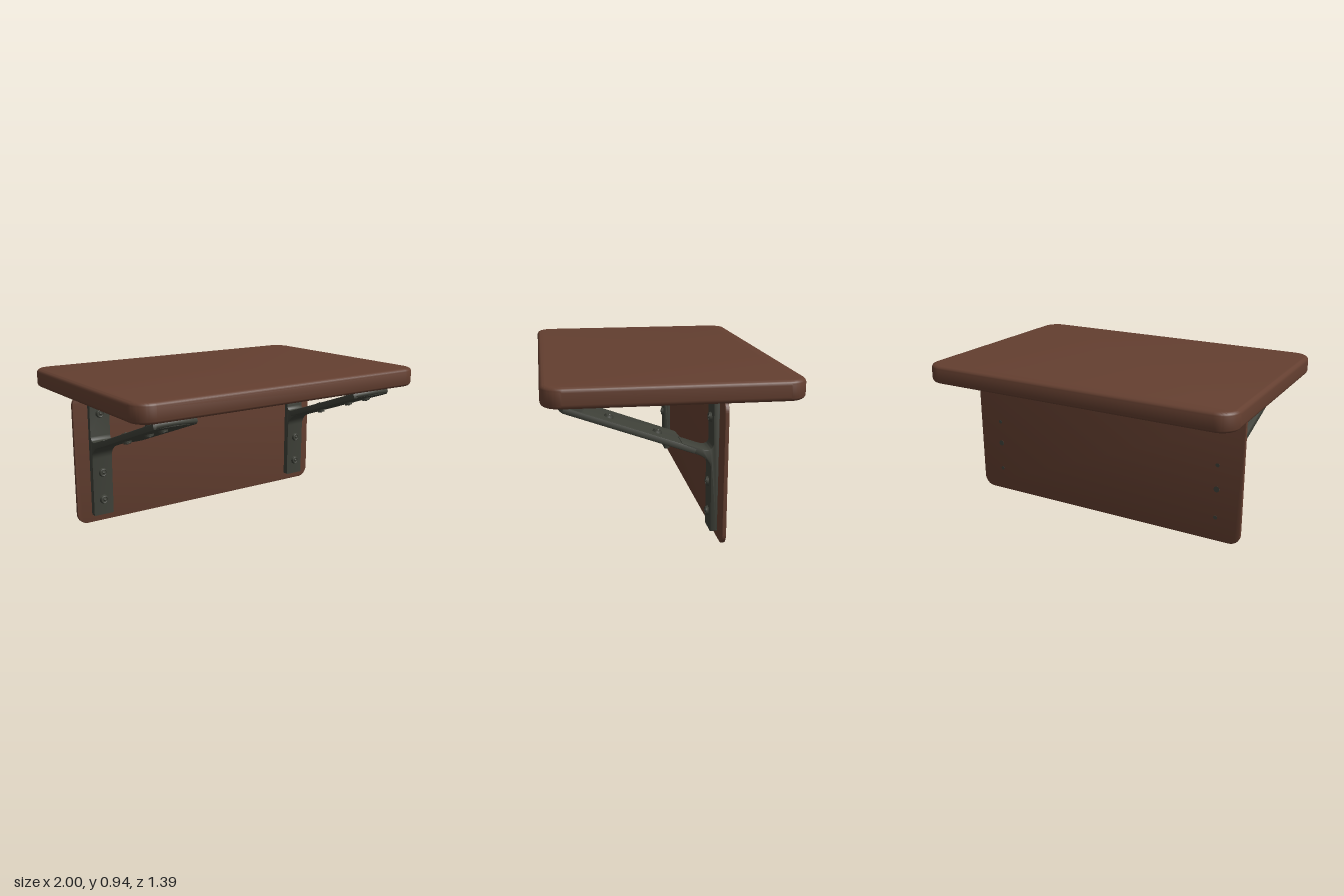
import * as THREE from 'three';
import { toCreasedNormals } from 'three/addons/utils/BufferGeometryUtils.js';

const wood = new THREE.MeshStandardMaterial({ name: 'brown wood', color: 0x643f30 });
const metal = new THREE.MeshStandardMaterial({ name: 'dark metal', color: 0x3e4038 });

function add(parent, name, geometry, material, x = 0, y = 0, z = 0) {
  const mesh = new THREE.Mesh(geometry, material);
  mesh.name = name;
  mesh.position.set(x, y, z);
  parent.add(mesh);
  return mesh;
}

// Extrusion centred on its depth, with the bevel kept inside the outline and depth
function slab(shape, depth, bevel, steps = 2) {
  const g = new THREE.ExtrudeGeometry(shape, {
    depth: depth - 2 * bevel, bevelSize: bevel, bevelThickness: bevel,
    bevelOffset: -bevel, bevelSegments: steps, curveSegments: 10,
  });
  g.translate(0, 0, -depth / 2 + bevel);
  return toCreasedNormals(g, 0.65);
}

function roundedRect(w, h, r) {
  const x = w / 2, y = h / 2, s = new THREE.Shape();
  s.absarc(x - r, y - r, r, 0, Math.PI / 2);
  s.absarc(-x + r, y - r, r, Math.PI / 2, Math.PI);
  s.absarc(-x + r, -y + r, r, Math.PI, Math.PI * 1.5);
  s.absarc(x - r, -y + r, r, Math.PI * 1.5, Math.PI * 2);
  s.closePath();
  return s;
}

// Side profile given in (z, y), extruded along x
function sideProfile(shape, width, bevel) {
  return slab(shape, width, bevel).rotateY(-Math.PI / 2);
}

// Screw head with a raised rim and a button; its axis is +z
function screw(parent, x, y, z, depth = 0.012) {
  const g = new THREE.Group();
  g.name = 'screw';
  add(g, 'screwHead', new THREE.CylinderGeometry(0.024, 0.028, depth, 20).rotateX(Math.PI / 2), metal, 0, 0, depth / 2);
  add(g, 'screwRim', new THREE.TorusGeometry(0.02, 0.004, 6, 20), metal, 0, 0, depth);
  add(g, 'screwButton', new THREE.SphereGeometry(0.009, 10, 6), metal, 0, 0, depth);
  g.position.set(x, y, z);
  parent.add(g);
  return g;
}

function bracket(side) {
  const g = new THREE.Group();
  g.name = side > 0 ? 'leftBracket' : 'rightBracket';
  const cx = side * 0.768;

  // Wall strap with a filleted root for the sloping arm
  const strap = new THREE.Shape();
  strap.moveTo(-0.255, 0.055);
  strap.lineTo(-0.215, 0.055);
  strap.lineTo(-0.212, 0.42);
  strap.quadraticCurveTo(-0.21, 0.47, -0.15, 0.502);
  strap.lineTo(-0.04, 0.545);
  strap.lineTo(-0.052, 0.578);
  strap.lineTo(-0.16, 0.539);
  strap.quadraticCurveTo(-0.222, 0.518, -0.224, 0.57);
  strap.lineTo(-0.22, 0.828);
  strap.lineTo(-0.255, 0.828);
  strap.closePath();
  add(g, 'wallStrap', sideProfile(strap, 0.134, 0.006), metal, cx);

  // Wide sloping arm: plan outline with a bowed front edge
  const arm = new THREE.Group();
  arm.name = 'slopingArm';
  const plan = new THREE.Shape();
  plan.moveTo(side * 0.705, 0.08);
  plan.lineTo(side * 0.705, 0.145);
  plan.lineTo(side * 0.59, 0.155);
  plan.quadraticCurveTo(side * 0.578, 0.157, side * 0.578, 0.175);
  plan.lineTo(side * 0.575, 0.815);
  plan.quadraticCurveTo(side * 0.71, 0.90, side * 0.848, 0.83);
  plan.lineTo(side * 0.835, 0.08);
  plan.closePath();
  add(arm, 'armPlate', slab(plan, 0.035, 0.006), metal);
  // Bolts through the arm, showing on both faces
  for (const s of [0.295, 0.575, 0.74]) {
    screw(arm, side * 0.745, s, 0.016);
    screw(arm, side * 0.745, s, -0.016).rotation.y = Math.PI;
  }
  arm.position.set(0, 0.502, -0.2);
  arm.rotation.x = THREE.MathUtils.degToRad(70);
  g.add(arm);

  // Raised front lip following the bowed edge
  const lip = new THREE.CatmullRomCurve3([
    [0.59, 0.785, 0.575], [0.65, 0.793, 0.593], [0.71, 0.797, 0.6], [0.78, 0.795, 0.595], [0.835, 0.788, 0.582],
  ].map(([x, y, z]) => new THREE.Vector3(side * x, y, z)));
  add(g, 'frontLip', new THREE.TubeGeometry(lip, 16, 0.018, 8), metal);

  // Flared post that meets the top
  const post = new THREE.Shape();
  post.moveTo(0.45, 0.735);
  post.quadraticCurveTo(0.49, 0.775, 0.48, 0.828);
  post.lineTo(0.555, 0.828);
  post.quadraticCurveTo(0.545, 0.79, 0.59, 0.78);
  post.closePath();
  add(g, 'topPost', sideProfile(post, 0.25, 0.005), metal, side * 0.715);

  // Strap screws, and their spacers behind
  for (const y of [0.155, 0.33, 0.7]) {
    screw(g, cx, y, y > 0.5 ? -0.222 : -0.214);
    add(g, 'spacer', new THREE.CylinderGeometry(0.03, 0.03, 0.012, 20).rotateX(Math.PI / 2), metal, cx, y, -0.259);
  }

  // Fixing ends on the rear of the board
  for (const [y, r] of [[0.15, 0.012], [0.33, 0.018], [0.48, 0.012], [0.72, 0.012]]) {
    add(g, 'rearFixing', new THREE.CylinderGeometry(r, r, 0.006, 14).rotateX(Math.PI / 2), metal, cx, y, -0.284);
  }
  return g;
}

export function createModel() {
  const model = new THREE.Group();
  model.name = 'wallTable';

  add(model, 'tableTop', slab(roundedRect(2, 1.395, 0.11), 0.113, 0.026, 5).rotateX(-Math.PI / 2), wood, 0, 0.882, 0);
  add(model, 'backBoard', slab(roundedRect(1.85, 0.822, 0.07), 0.024, 0.006), wood, 0, 0.411, -0.273);
  for (const side of [1, -1]) model.add(bracket(side));
  return model;
}
